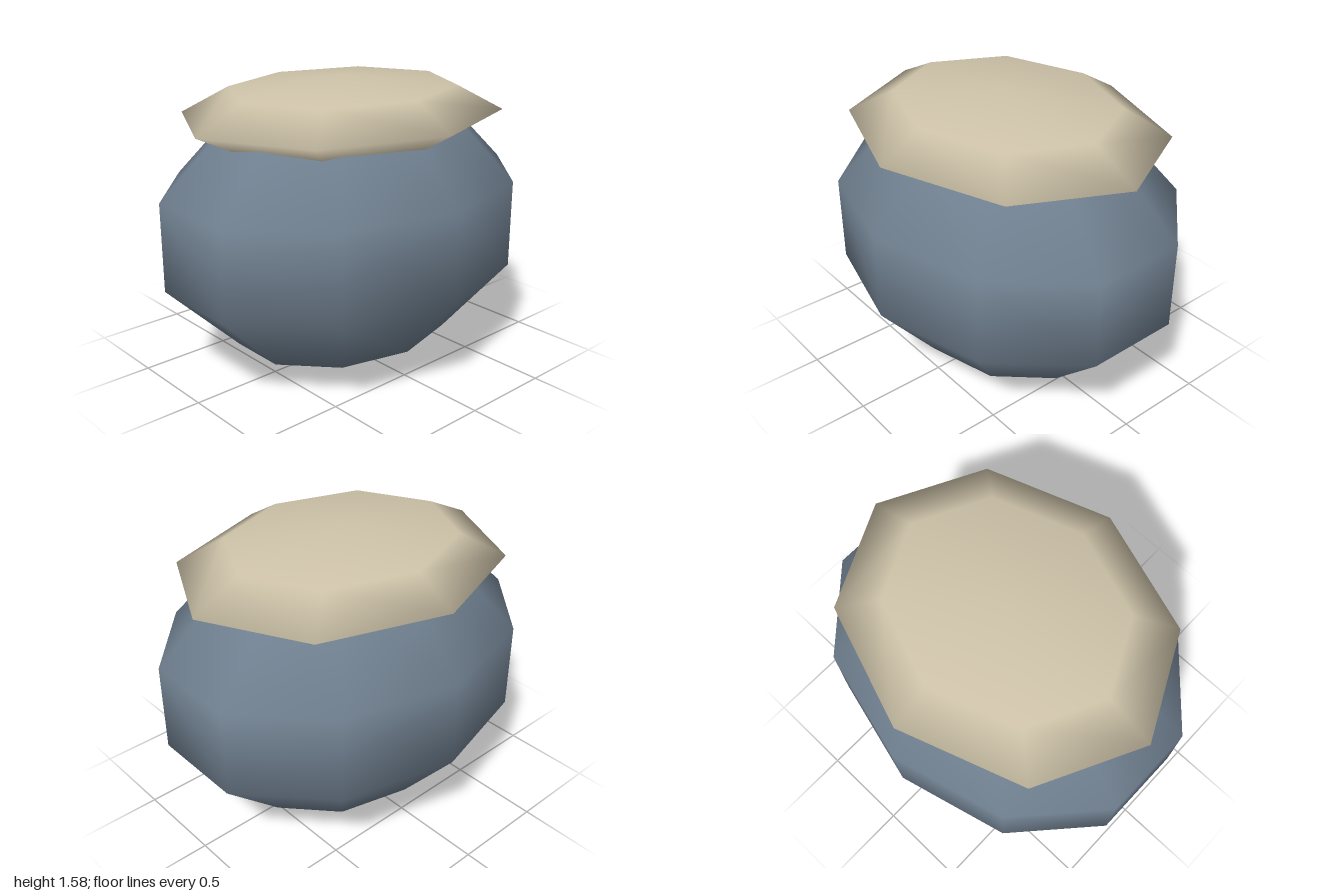
import * as THREE from 'three';

const slate = new THREE.MeshStandardMaterial({ color: 0x708090 });
slate.name = 'slate';
const cream = new THREE.MeshStandardMaterial({ color: 0xcfc4aa });
cream.name = 'cream';

// Low-poly ellipsoid with smooth normals; radii are per axis
function ellipsoid(name, material, [rx, ry, rz], y, sides, rows, phiStart = 0) {
  const geometry = new THREE.SphereGeometry(1, sides, rows, phiStart);
  geometry.scale(rx, ry, rz);
  const mesh = new THREE.Mesh(geometry, material);
  mesh.name = name;
  mesh.position.y = y;
  return mesh;
}

export function createModel() {
  const group = new THREE.Group();
  group.name = 'pot';

  // Ten-sided body with corners on the z axis, flat sides facing x
  group.add(ellipsoid('body', slate, [1.1056, 0.775, 0.884], 0.775, 10, 5, Math.PI / 2));

  // Flattened eight-sided lid overlapping the top of the body
  group.add(ellipsoid('lid', cream, [0.935, 0.19, 0.775], 1.385, 8, 4));

  return group;
}
